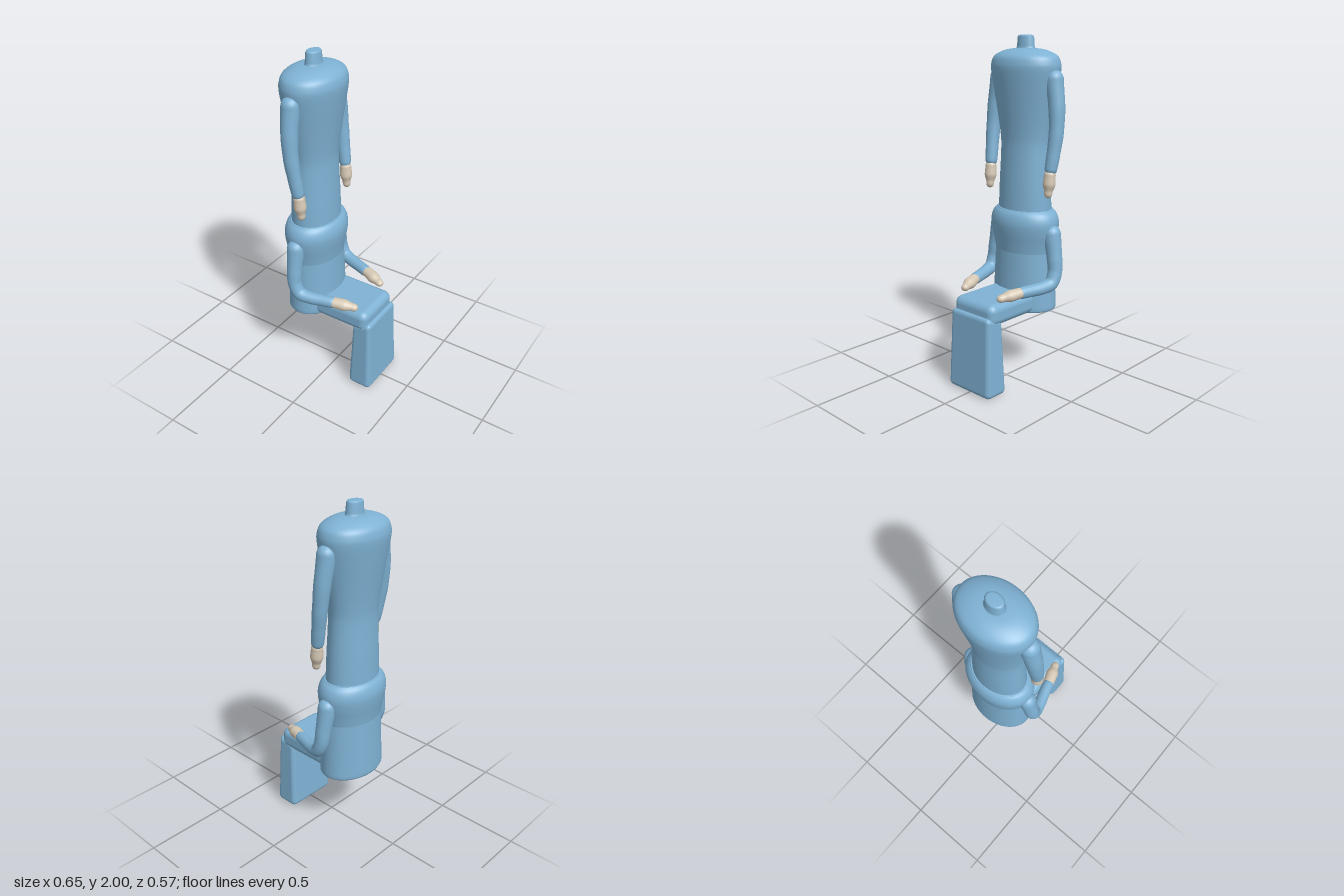
import * as THREE from 'three';
import { mergeVertices } from 'three/addons/utils/BufferGeometryUtils.js';
import { RoundedBoxGeometry } from 'three/addons/geometries/RoundedBoxGeometry.js';

const BODY_X = -0.16; // body axis
const OVAL = 1.35;    // body depth (z) over width (x)

const blue = new THREE.MeshStandardMaterial({ color: 0x7fb2d4, side: THREE.DoubleSide });
const skin = new THREE.MeshStandardMaterial({ color: 0xd6c9b5 });
const brass = new THREE.MeshStandardMaterial({ color: 0xc9a25c });

function add(group, name, geometry, material) {
  const mesh = new THREE.Mesh(geometry, material);
  mesh.name = name;
  group.add(mesh);
  return mesh;
}

// Weld seams so that the shading stays smooth all the way round
function smooth(geometry) {
  geometry.deleteAttribute('uv');
  geometry.deleteAttribute('normal');
  const welded = mergeVertices(geometry, 1e-5);
  welded.computeVertexNormals();
  return welded;
}

// Oval turned shape from [radius, y] points; curved profiles are splined
function ovalLathe(profile, curved = true) {
  let pts = profile.map(([r, y]) => new THREE.Vector2(r, y));
  if (curved) pts = new THREE.SplineCurve(pts).getPoints(48);
  const g = new THREE.LatheGeometry(pts, 56);
  g.scale(1, 1, OVAL);
  g.translate(BODY_X, 0, 0);
  return g;
}

// Tube through [x, y, z, radius] points with domed ends
function limb(points, flat = 1) {
  const curve = new THREE.CatmullRomCurve3(points.map(([x, y, z]) => new THREE.Vector3(x, y, z)), false, 'centripetal');
  const segments = 80, sides = 20, length = curve.getLength();
  const g = new THREE.TubeGeometry(curve, segments, 1, sides);
  const pos = g.attributes.position, nor = g.attributes.normal;
  const n = new THREE.Vector3();
  for (let i = 0; i <= segments; i++) {
    const u = i / segments, centre = curve.getPointAt(u);
    const t = curve.getUtoTmapping(u) * (points.length - 1);
    const k = Math.min(Math.floor(t), points.length - 2);
    let r = THREE.MathUtils.lerp(points[k][3], points[k + 1][3], THREE.MathUtils.smoothstep(t - k, 0, 1));
    const d = Math.min(u, 1 - u) * length;
    if (d < r) r *= Math.sqrt(Math.max(0, 1 - (1 - d / r) ** 2));
    for (let j = 0; j <= sides; j++) {
      const v = i * (sides + 1) + j;
      n.fromBufferAttribute(nor, v).multiplyScalar(r);
      pos.setXYZ(v, centre.x + n.x, centre.y + n.y * flat, centre.z + n.z);
    }
  }
  return smooth(g);
}

export function createModel() {
  const model = new THREE.Group();
  model.name = 'seatedDollWithSpareTorso';

  // Upper torso with neck peg
  const upper = new THREE.Group();
  upper.name = 'upperTorso';
  model.add(upper);
  add(upper, 'upperBody', ovalLathe([
    [0.128, 1.0], [0.124, 1.15], [0.116, 1.36], [0.119, 1.45], [0.134, 1.58], [0.153, 1.72],
    [0.164, 1.81], [0.162, 1.85], [0.149, 1.885], [0.115, 1.91], [0.07, 1.925], [0, 1.93],
  ]), blue);
  add(upper, 'neckPeg', ovalLathe([
    [0.052, 1.915], [0.044, 1.928], [0.041, 1.942], [0.038, 1.99], [0.034, 1.998], [0.028, 2], [0, 2],
  ], false), blue);

  // Seated lower torso
  const lower = new THREE.Group();
  lower.name = 'seatedBody';
  model.add(lower);
  add(lower, 'chest', ovalLathe([
    [0.143, 0.77], [0.15, 0.82], [0.16, 0.88], [0.165, 0.93], [0.162, 0.965], [0.152, 0.995],
    [0.137, 1.014], [0.12, 1.02], [0, 1.022],
  ]), blue);
  add(lower, 'skirt', ovalLathe([
    [0, 0.417], [0.145, 0.417], [0.152, 0.42], [0.156, 0.43], [0.155, 0.45], [0.143, 0.77],
  ], false), blue);

  // Oval socket ring under the body
  const ring = new THREE.TorusGeometry(0.052, 0.007, 10, 48);
  ring.rotateX(Math.PI / 2);
  ring.scale(1, 1.6, OVAL);
  ring.translate(BODY_X, 0.414, 0);
  add(lower, 'socketRing', ring, brass);

  // Joined legs: flat thigh block and tapered shin block
  const thigh = new RoundedBoxGeometry(0.39, 0.128, 0.312, 6, 0.045);
  thigh.translate(0.087, 0.481, 0);
  add(lower, 'thighs', thigh, blue);

  const shin = new RoundedBoxGeometry(0.152, 0.48, 0.33, 6, 0.03);
  const p = shin.attributes.position;
  for (let i = 0; i < p.count; i++) {
    const up = p.getY(i) / 0.48 + 0.5;
    const x = p.getX(i) * (1 - 0.24 * up);
    p.setXYZ(i, x + 0.247, p.getY(i) + 0.24 - 0.3 * up * up * Math.max(0, 0.06 - x), p.getZ(i) * (1 - 0.09 * up));
  }
  shin.computeVertexNormals();
  add(lower, 'shins', smooth(shin), blue);

  // Arms and hands, mirrored in z
  for (const [side, s] of [['right', 1], ['left', -1]]) {
    const path = (pts) => pts.map(([x, y, z, r]) => [x, y, z * s, r]);

    add(upper, side + 'HangingArm', limb(path([
      [-0.162, 1.815, 0.208, 0.05], [-0.161, 1.74, 0.212, 0.051], [-0.157, 1.62, 0.232, 0.047],
      [-0.146, 1.48, 0.241, 0.042], [-0.128, 1.35, 0.236, 0.038], [-0.111, 1.245, 0.229, 0.034],
      [-0.11, 1.24, 0.229, 0.034],
    ])), blue);
    add(upper, side + 'HangingHand', limb(path([
      [-0.114, 1.275, 0.23, 0.028], [-0.11, 1.24, 0.229, 0.033], [-0.106, 1.19, 0.228, 0.036],
      [-0.101, 1.145, 0.227, 0.024], [-0.099, 1.11, 0.226, 0.021],
    ])), skin);

    add(lower, side + 'BentArm', limb(path([
      [-0.162, 0.94, 0.205, 0.05], [-0.161, 0.87, 0.211, 0.051], [-0.157, 0.75, 0.233, 0.045],
      [-0.149, 0.665, 0.243, 0.042], [-0.118, 0.608, 0.242, 0.04], [-0.055, 0.592, 0.227, 0.037],
      [0.02, 0.588, 0.203, 0.035], [0.1, 0.585, 0.178, 0.034],
    ])), blue);
    add(lower, side + 'RestingHand', limb(path([
      [0.05, 0.588, 0.193, 0.028], [0.09, 0.586, 0.181, 0.034], [0.14, 0.58, 0.163, 0.037],
      [0.185, 0.574, 0.146, 0.025], [0.22, 0.569, 0.137, 0.022],
    ]), 0.9), skin);
  }
  return model;
}
